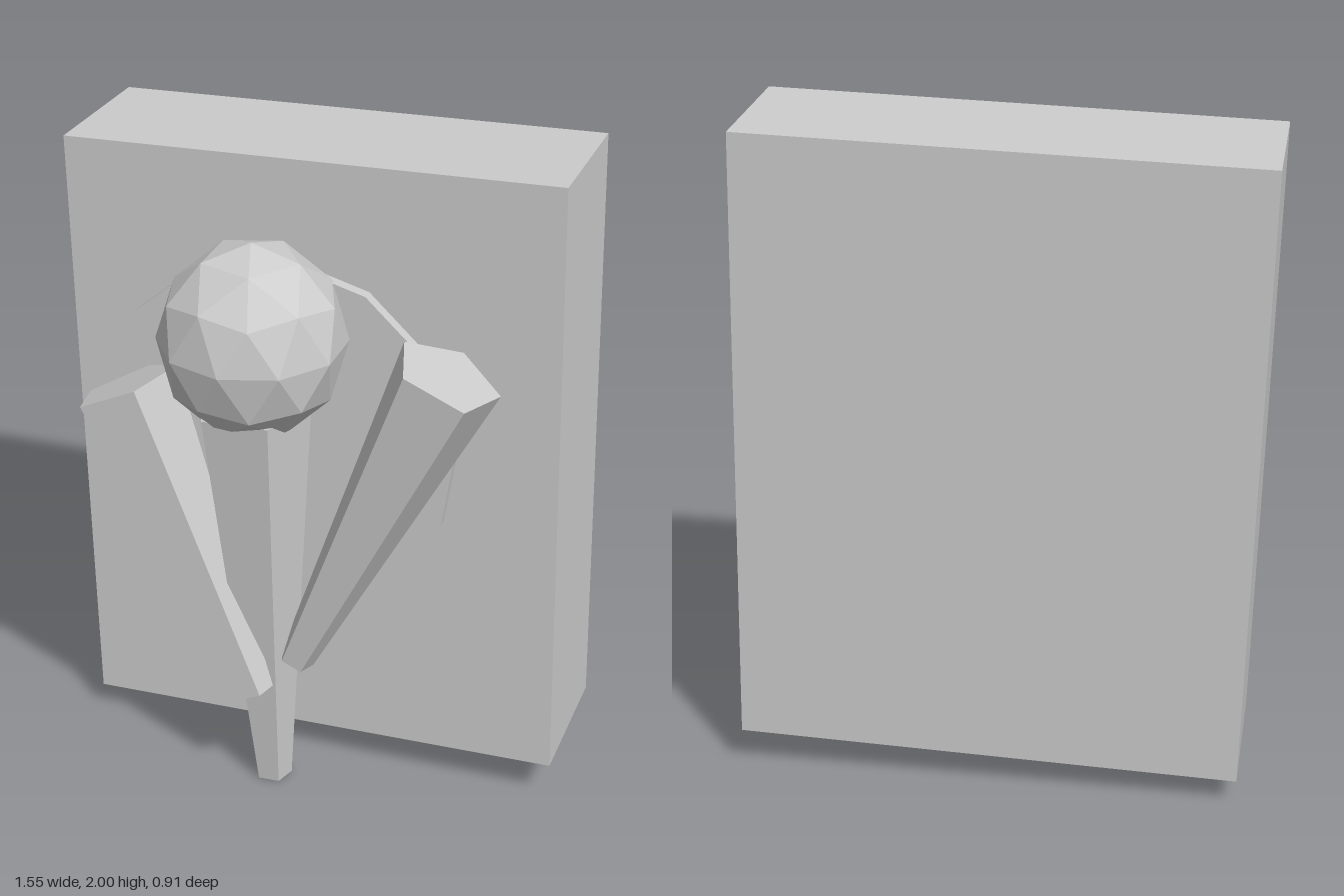
import * as THREE from 'three';

export function createModel() {
  const model = new THREE.Group();
  const grey = new THREE.MeshStandardMaterial({ color: 0xcccccc });
  grey.flatShading = true;

  function add(name, geometry, x, y, z) {
    const mesh = new THREE.Mesh(geometry, grey);
    mesh.name = name;
    mesh.position.set(x, y, z);
    model.add(mesh);
    return mesh;
  }

  // Thick backing slab, leaning slightly back and sideways
  add('slab', new THREE.BoxGeometry(1.495, 1.874, 0.465), 0, 1.042, -0.2)
    .rotation.set(-0.024, 0, 0.029);

  // Thin thirteen-sided disc on the slab's front
  const disc = new THREE.CylinderGeometry(0.555, 0.555, 0.07, 13, 1, false, THREE.MathUtils.degToRad(151));
  disc.rotateX(Math.PI / 2);
  add('disc', disc, -0.105, 1.13, 0.03).rotation.x = -0.02;

  // Faceted ball with a vertex at its pole, a little taller than wide
  const ball = new THREE.IcosahedronGeometry(1, 1);
  ball.rotateX(-Math.atan((1 + Math.sqrt(5)) / 2));
  ball.rotateY(Math.PI / 2);
  ball.scale(0.277, 0.296, 0.275);
  add('ball', ball, -0.132, 1.494, 0.178);

  // Five-sided tapered prongs, wider at the top
  function prong(name, bottom, top, rBottom, rTop) {
    const a = new THREE.Vector3(...bottom);
    const b = new THREE.Vector3(...top);
    const axis = b.clone().sub(a);
    const geometry = new THREE.CylinderGeometry(rTop, rBottom, axis.length(), 5, 1, false, Math.PI);
    const centre = a.add(b).multiplyScalar(0.5);
    add(name, geometry, centre.x, centre.y, centre.z)
      .quaternion.setFromUnitVectors(new THREE.Vector3(0, 1, 0), axis.normalize());
  }
  prong('middleProng', [-0.073, 0.003, 0.2], [-0.125, 1.3, 0.21], 0.056, 0.172);
  prong('leftProng', [0.012, 0.46, 0.222], [0.453, 1.483, 0.198], 0.056, 0.163);
  prong('rightProng', [-0.085, 0.378, 0.312], [-0.513, 1.305, 0.223], 0.055, 0.16);

  return model;
}
